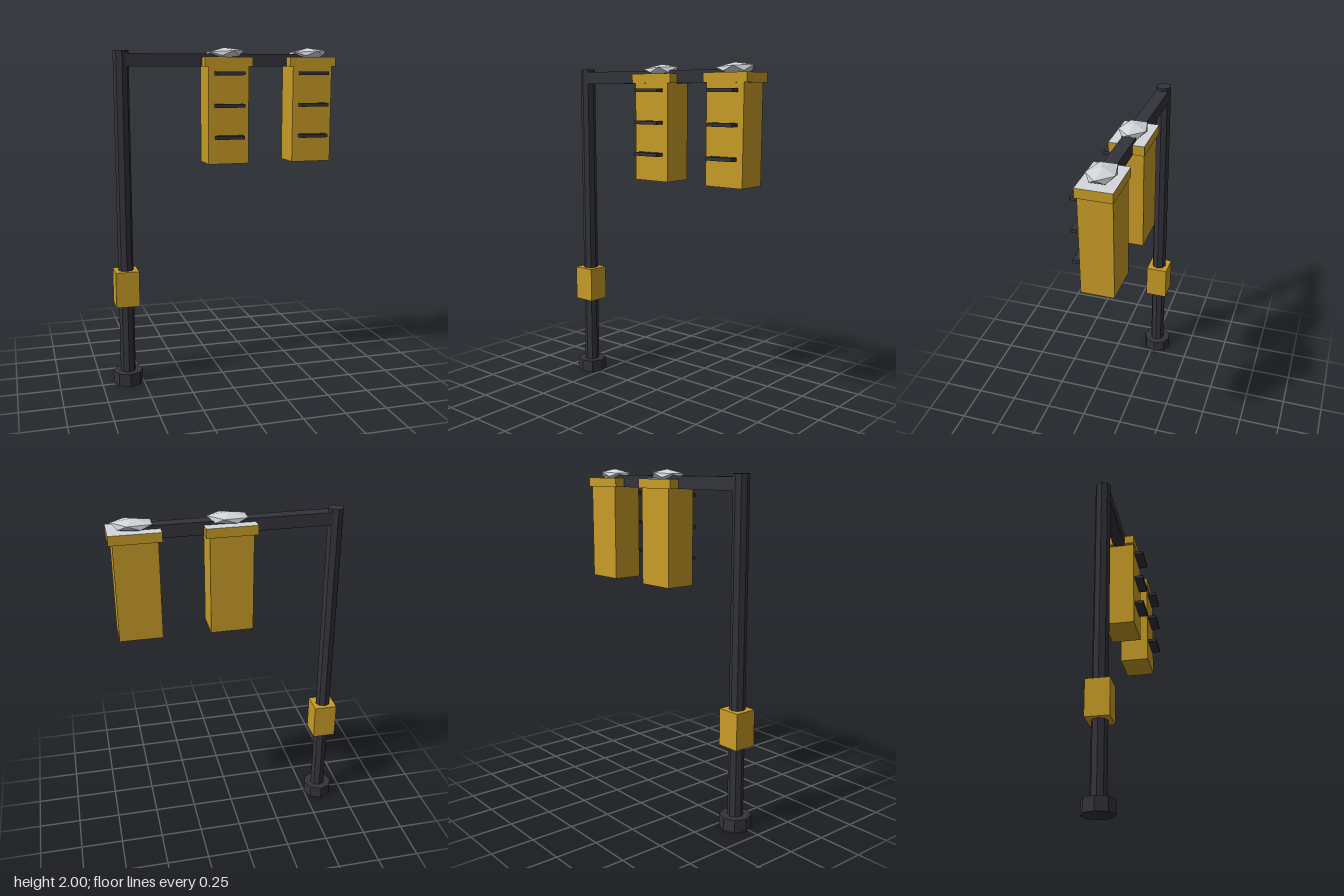
import * as THREE from 'three';
import { ConvexGeometry } from 'three/addons/geometries/ConvexGeometry.js';

const Z = -0.023; // depth of the pole and arm axis
const POLE_X = -0.591;

function material(name, color) {
  const m = new THREE.MeshStandardMaterial({ color });
  m.name = name;
  m.flatShading = true;
  return m;
}

// Faceted lump: a peak, two staggered pentagons and a base point
function lumpGeometry() {
  const points = [new THREE.Vector3(0, 2.0, 0), new THREE.Vector3(0, 1.925, 0)];
  for (let i = 0; i < 5; i++) {
    const a = (i * 2 * Math.PI) / 5;
    const b = a + Math.PI / 5;
    points.push(new THREE.Vector3(0.122 * Math.cos(a), 1.979 + 0.006 * Math.cos(a), 0.08 * Math.sin(a)));
    points.push(new THREE.Vector3(0.104 * Math.cos(b), 1.953, 0.07 * Math.sin(b)));
  }
  return new ConvexGeometry(points);
}

export function createModel() {
  const group = new THREE.Group();
  group.name = 'trafficLight';
  const dark = material('darkMetal', 0x33333b);
  const yellow = material('yellowPaint', 0xc89c26);
  const snow = material('snow', 0xd4d8dd);

  const add = (parent, name, geometry, mat, x, y, z) => {
    const mesh = new THREE.Mesh(geometry, mat);
    mesh.name = name;
    mesh.position.set(x, y, z);
    parent.add(mesh);
    return mesh;
  };
  const box = (w, h, d) => new THREE.BoxGeometry(w, h, d);

  // Octagonal post with foot and control box
  add(group, 'foot', new THREE.CylinderGeometry(0.09, 0.09, 0.076, 8), dark, POLE_X, 0.038, Z);
  add(group, 'pole', new THREE.CylinderGeometry(0.045, 0.045, 1.98, 8), dark, POLE_X, 0.99, Z);
  add(group, 'controlBox', box(0.138, 0.212, 0.135), yellow, POLE_X, 0.597, Z);

  // Overhead arm
  const armEnd = 0.536;
  add(group, 'arm', box(armEnd - POLE_X, 0.073, 0.073), dark, (armEnd + POLE_X) / 2, 1.927, Z);

  // Two hanging signal heads
  const lump = lumpGeometry();
  for (const x of [0.018, 0.536]) {
    const head = new THREE.Group();
    head.name = 'signalHead';
    head.position.x = x;
    group.add(head);

    add(head, 'housing', box(0.244, 0.564, 0.183), yellow, 0, 1.609, Z);
    // Cap whose upper face alone is snow covered
    add(head, 'cap', box(0.287, 0.054, 0.196),
      [yellow, yellow, snow, yellow, yellow, yellow], 0, 1.918, Z - 0.001);
    add(head, 'snowLump', lump, snow, 0, 0, Z);
    for (const y of [1.851, 1.667, 1.484]) {
      add(head, 'visor', box(0.168, 0.02, 0.06), dark, 0, y, 0.0925);
    }
  }
  return group;
}
